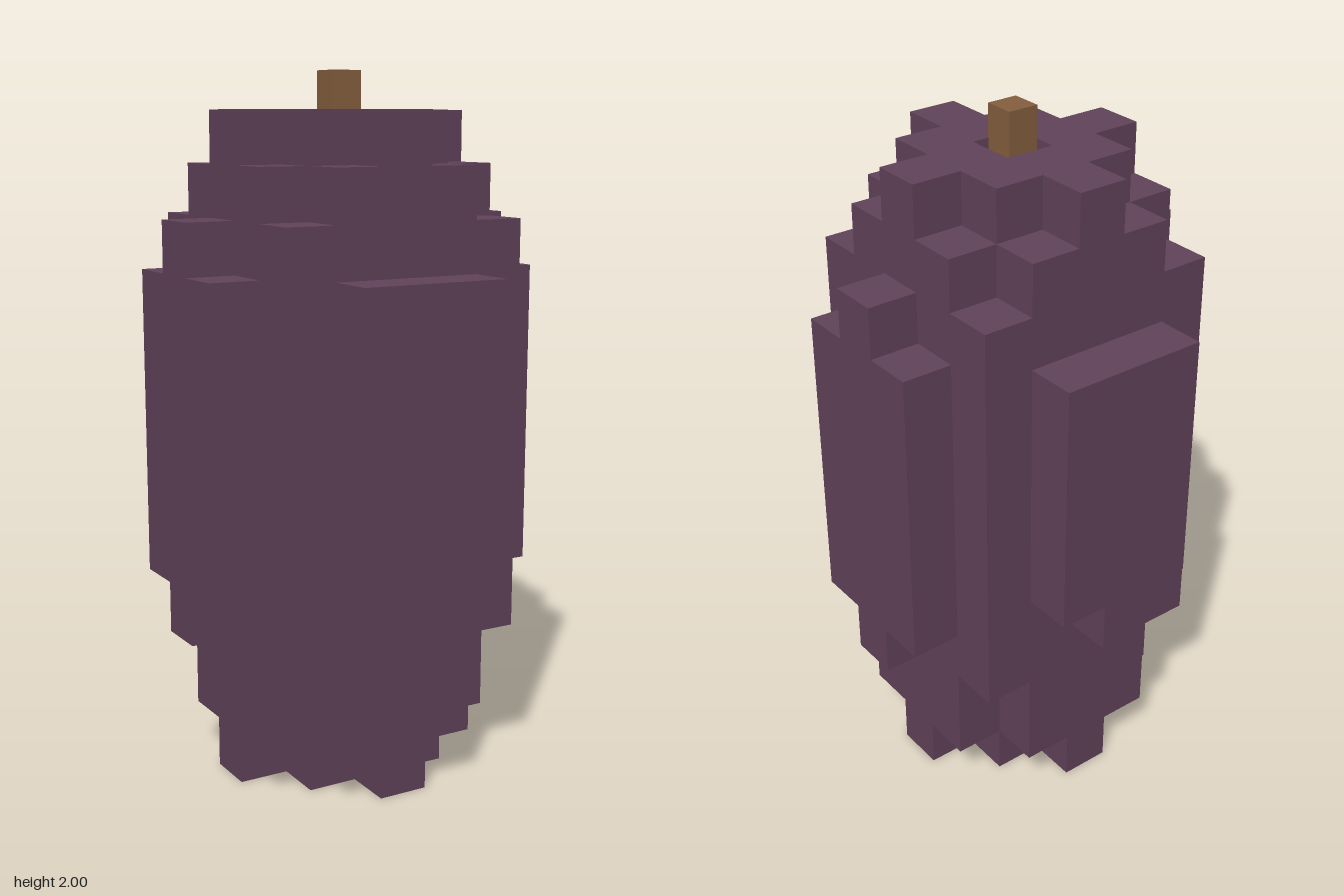
import * as THREE from 'three';

const U = 1.893 / 13; // edge length of one block

// vertical span [from, to) of each block column, by its distance |x|,|z| from the axis
const SPANS = {
  '0,0': [0, 12], '0,1': [0, 13], '1,0': [0, 13], '1,1': [0, 13],
  '0,2': [0, 13], '2,0': [0, 13], '1,2': [1, 12], '2,1': [1, 12], '2,2': [3, 11],
  '3,0': [3, 11], '3,1': [4, 10],
  '0,3': [4, 10], '1,3': [5, 10],
};

function filled(x, y, z) {
  const span = SPANS[`${Math.abs(x)},${Math.abs(z)}`];
  return !!span && y >= span[0] && y < span[1];
}

// outer skin of the blocks: one quad for every block side with no neighbour
function blockSkin() {
  const positions = [];
  const normal = new THREE.Vector3(), a = new THREE.Vector3(), b = new THREE.Vector3();
  const addSide = (centre, axis, sign) => {
    normal.set(0, 0, 0).setComponent(axis, sign / 2);
    a.set(0, 0, 0).setComponent((axis + 1) % 3, 0.5);
    b.set(0, 0, 0).setComponent((axis + 2) % 3, 0.5 * sign);
    for (const [i, j] of [[-1, -1], [1, -1], [1, 1], [-1, -1], [1, 1], [-1, 1]]) {
      const p = centre.clone().add(normal).addScaledVector(a, i).addScaledVector(b, j);
      positions.push(p.x * U, p.y * U, p.z * U);
    }
  };
  for (let x = -3; x <= 3; x++)
    for (let z = -3; z <= 3; z++)
      for (let y = 0; y < 13; y++) {
        if (!filled(x, y, z)) continue;
        const centre = new THREE.Vector3(x, y + 0.5, z);
        for (let axis = 0; axis < 3; axis++)
          for (const sign of [-1, 1]) {
            const n = [x, y, z];
            n[axis] += sign;
            if (!filled(...n)) addSide(centre, axis, sign);
          }
      }
  const geometry = new THREE.BufferGeometry();
  geometry.setAttribute('position', new THREE.Float32BufferAttribute(positions, 3));
  geometry.computeVertexNormals();
  return geometry;
}

export function createModel() {
  const skin = new THREE.MeshStandardMaterial({ color: 0x62435b });
  skin.name = 'plumSkin';
  const wood = new THREE.MeshStandardMaterial({ color: 0x86603f });
  wood.name = 'brownStalk';

  const group = new THREE.Group();
  group.name = 'blockFruit';

  // fruit body with a small pit in the top
  const body = new THREE.Mesh(blockSkin(), skin);
  body.name = 'fruitBody';
  group.add(body);

  // stalk standing in the pit
  const base = 12 * U;
  const stalk = new THREE.Mesh(new THREE.BoxGeometry(0.09, 2 - base, 0.09), wood);
  stalk.position.y = (2 + base) / 2;
  stalk.name = 'stalk';
  group.add(stalk);

  return group;
}
